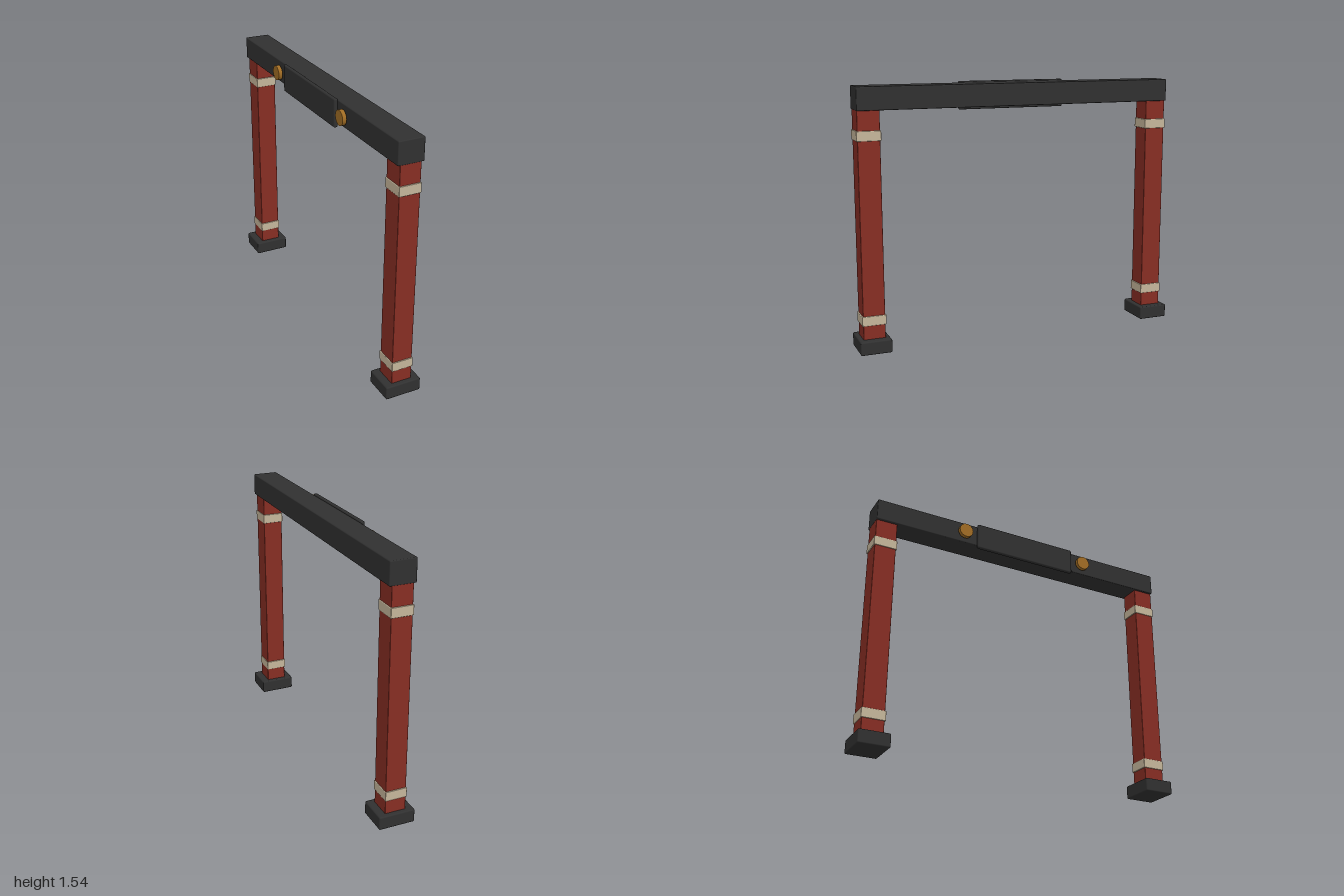
import * as THREE from 'three';
import { RoundedBoxGeometry } from 'three/addons/geometries/RoundedBoxGeometry.js';

function material(name, color) {
  const m = new THREE.MeshStandardMaterial({ color });
  m.name = name;
  return m;
}

export function createModel() {
  const root = new THREE.Group();
  root.name = 'gateway';

  const charcoal = material('charcoal', 0x303030);
  const red = material('red lacquer', 0x862d23);
  const cream = material('cream', 0xc4b59a);
  const bronze = material('bronze', 0xa06c24);

  // Softly bevelled block, placed by its bottom and top heights
  function block(name, mat, [w, d], [y0, y1], x, z, bevel, parent) {
    const mesh = new THREE.Mesh(new RoundedBoxGeometry(w, y1 - y0, d, 2, bevel), mat);
    mesh.name = name;
    mesh.position.set(x, (y0 + y1) / 2, z);
    parent.add(mesh);
  }

  // Two posts, each with a foot and a pair of bands
  for (const side of [-1, 1]) {
    const post = new THREE.Group();
    post.name = side > 0 ? 'frontPost' : 'backPost';
    post.position.z = side * 0.908;
    block('foot', charcoal, [0.216, 0.184], [0, 0.08], 0, 0, 0.008, post);
    block('shaft', red, [0.124, 0.13], [0.06, 1.41], 0, 0, 0.004, post);
    block('lowerBand', cream, [0.131, 0.142], [0.16, 0.218], 0, 0, 0.004, post);
    block('upperBand', cream, [0.131, 0.142], [1.225, 1.283], 0, 0, 0.004, post);
    root.add(post);
  }

  // Crossbeam and the plaque on its right face
  block('crossbeam', charcoal, [0.154, 1.95], [1.395, 1.528], 0, 0, 0.006, root);
  block('plaque', charcoal, [0.024, 0.666], [1.37, 1.536], -0.088, 0, 0.009, root);

  // Round studs on either side of the plaque
  for (const z of [-0.417, 0.413]) {
    const stud = new THREE.Mesh(new THREE.CylinderGeometry(0.044, 0.044, 0.024, 24), bronze);
    stud.name = 'stud';
    stud.rotation.z = Math.PI / 2;
    stud.position.set(-0.1, 1.46, z);
    root.add(stud);
  }

  return root;
}
